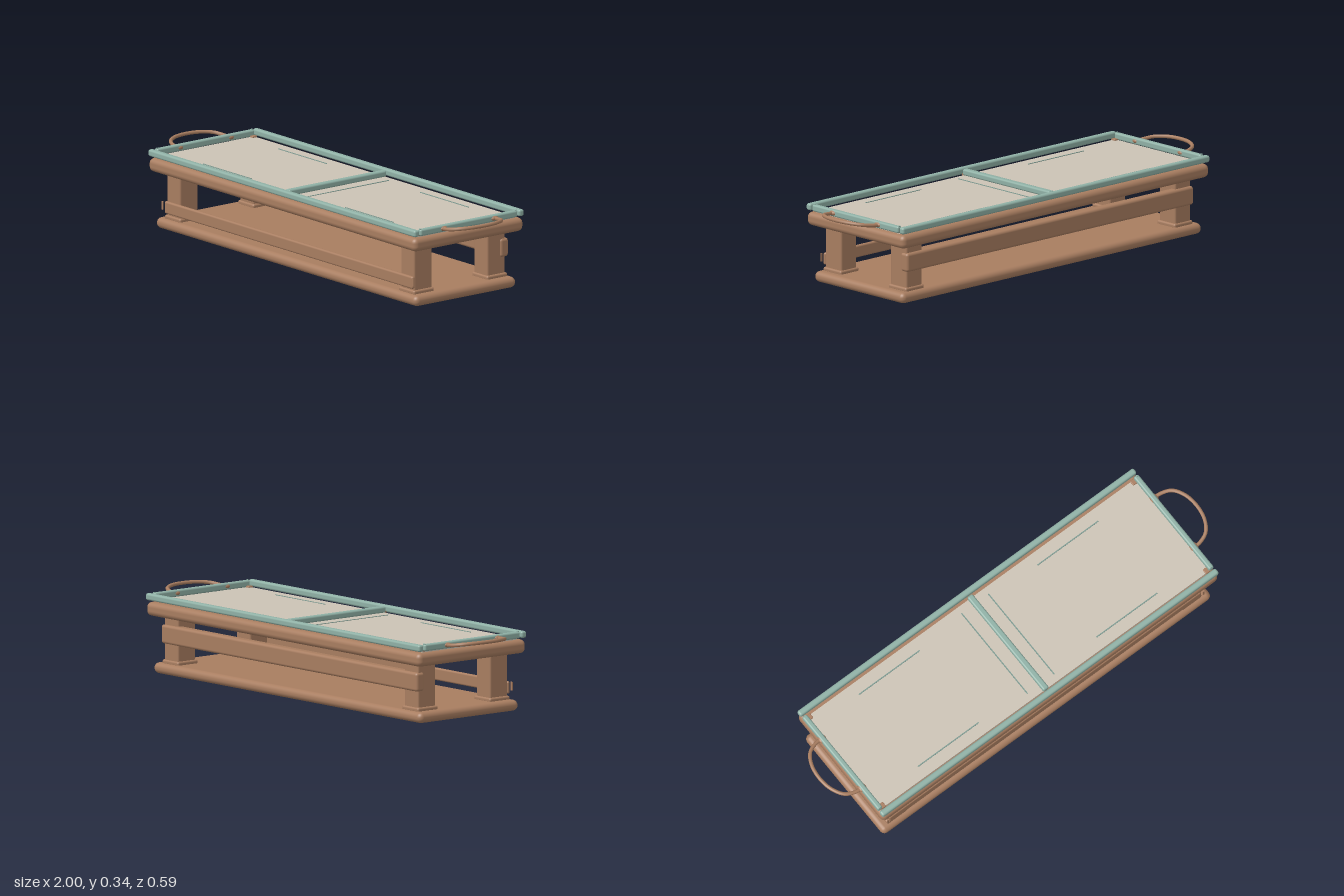
import * as THREE from 'three';
import { RoundedBoxGeometry } from 'three/addons/geometries/RoundedBoxGeometry.js';

function material(name, color) {
  const m = new THREE.MeshStandardMaterial({ color });
  m.name = name;
  return m;
}

export function createModel() {
  const model = new THREE.Group();
  model.name = 'lowTrayTable';
  const wood = material('warm wood', 0xa87d60);
  const teal = material('sage teal', 0x8fb0a5);
  const linen = material('pale linen', 0xcbc3b5);
  const groove = material('groove', 0x7d9a91);

  // Rounded block given by its extents on each axis
  function block(name, mat, [x0, x1], [y0, y1], [z0, z1], radius = 0.008) {
    const w = x1 - x0, h = y1 - y0, d = z1 - z0;
    const r = Math.min(radius, w * 0.49, h * 0.49, d * 0.49);
    const geo = r > 0 ? new RoundedBoxGeometry(w, h, d, 3, r) : new THREE.BoxGeometry(w, h, d);
    const mesh = new THREE.Mesh(geo, mat);
    mesh.name = name;
    mesh.position.set((x0 + x1) / 2, (y0 + y1) / 2, (z0 + z1) / 2);
    model.add(mesh);
    return mesh;
  }
  // Extent from a to b on the positive side, or its mirror image
  const side = (s, a, b) => (s > 0 ? [a, b] : [-b, -a]);

  // Base and table top
  block('baseBoard', wood, [-0.865, 0.865], [0, 0.046], [-0.271, 0.271], 0.022);
  block('tableTop', wood, [-0.885, 0.885], [0.243, 0.301], [-0.294, 0.294], 0.022);

  // Legs with foot blocks
  for (const sx of [-1, 1]) for (const sz of [-1, 1]) {
    block('leg', wood, side(sx, 0.73, 0.82), [0.05, 0.25], side(sz, 0.148, 0.245));
    block('legFoot', wood, side(sx, 0.722, 0.828), [0.04, 0.061], side(sz, 0.142, 0.251));
  }

  // Long rails joining the legs
  block('backRail', wood, [-0.827, 0.827], [0.129, 0.209], [-0.258, -0.214], 0.012);
  block('frontRail', wood, [-0.822, 0.822], [0.068, 0.121], [0.24, 0.257]);
  for (const sx of [-1, 1]) {
    block('railEndPin', wood, side(sx, 0.826, 0.834), [0.083, 0.119], [0.255, 0.26], 0);
  }

  // Tray floor and frame
  block('trayPanel', linen, [-0.862, 0.862], [0.3, 0.309], [-0.256, 0.256], 0);
  for (const s of [-1, 1]) {
    block('trayLongRail', teal, [-0.885, 0.885], [0.308, 0.337], side(s, 0.267, 0.294), 0.009);
    block('trayEndRail', teal, side(s, 0.86, 0.884), [0.308, 0.337], [-0.26, 0.26], 0.008);
    // Corner blocks inside the frame
    for (const sz of [-1, 1]) {
      block('cornerBlock', wood, side(s, 0.842, 0.865), [0.305, 0.315], side(sz, 0.236, 0.26), 0.003);
      block('cornerPeg', teal, side(s, 0.868, 0.876), [0.33, 0.339], side(sz, 0.25, 0.258), 0);
    }
  }
  block('trayDivider', teal, [-0.014, 0.014], [0.308, 0.335], [-0.262, 0.262], 0.008);
  block('dividerPin', wood, [-0.008, 0.008], [0.303, 0.315], [0.26, 0.27], 0);

  // Thin grooves on the tray floor
  for (const sx of [-1, 1]) {
    block('crossGroove', groove, side(sx, 0.068, 0.073), [0.307, 0.311], [-0.225, 0.225], 0);
    for (const sz of [-1, 1]) {
      block('longGroove', groove, side(sx, 0.31, 0.63), [0.307, 0.311], side(sz, 0.199, 0.204), 0);
    }
  }

  // Curved end handles with oval mounts
  for (const s of [-1, 1]) {
    const half = [[0.868, 0.321, 0.14], [0.915, 0.325, 0.134], [0.953, 0.331, 0.115], [0.982, 0.335, 0.066]];
    const points = [
      ...half,
      [0.992, 0.336, 0],
      ...half.slice().reverse().map(([x, y, z]) => [x, y, -z]),
    ].map(([x, y, z]) => new THREE.Vector3(s * x, y, z));
    const handle = new THREE.Mesh(
      new THREE.TubeGeometry(new THREE.CatmullRomCurve3(points), 48, 0.008, 10), wood);
    handle.name = 'handle';
    model.add(handle);
    for (const sz of [-1, 1]) {
      const mount = new THREE.Mesh(new THREE.SphereGeometry(1, 16, 10), wood);
      mount.name = 'handleMount';
      mount.scale.set(0.018, 0.012, 0.022);
      mount.position.set(s * 0.874, 0.323, sz * 0.136);
      model.add(mount);
    }
  }
  return model;
}
